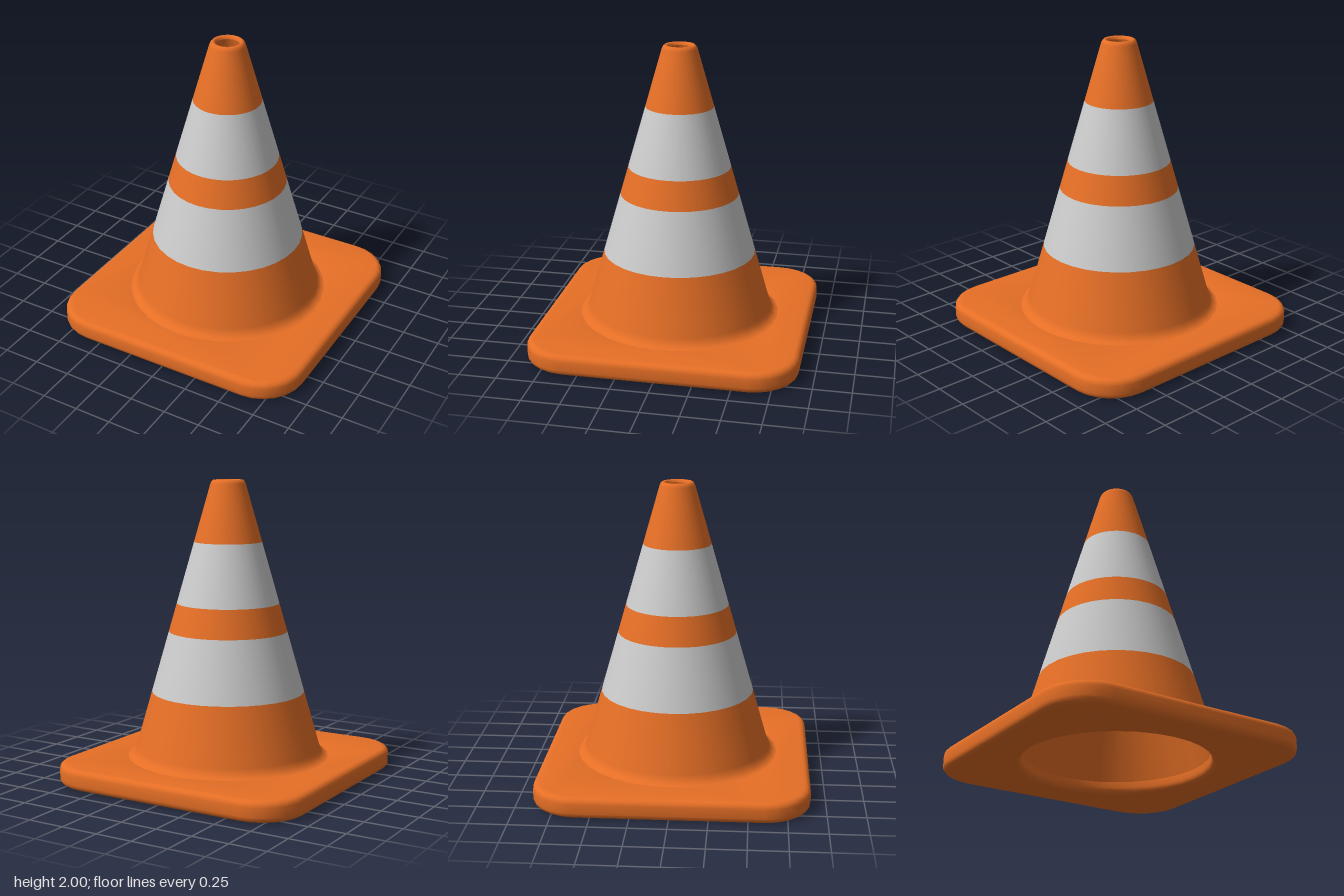
import * as THREE from 'three';
import { toCreasedNormals } from 'three/addons/utils/BufferGeometryUtils.js';

const SIDES = 32;
const orange = new THREE.MeshStandardMaterial({ color: 0xe66f26 });
const grey = new THREE.MeshStandardMaterial({ color: 0xcccccc });

// Outer radius of the tapering wall at height y
const wall = (y) => 0.682 - 0.286 * y;

function addMesh(group, name, geometry, material) {
  const mesh = new THREE.Mesh(geometry, material);
  mesh.name = name;
  group.add(mesh);
}

function lathe(points) {
  return new THREE.LatheGeometry(points.map(([r, y]) => new THREE.Vector2(r, y)), SIDES);
}

// Rounded square plate with a round opening and softened edges
function baseGeometry() {
  const bevel = 0.04, half = 0.9 - bevel, radius = 0.3 - bevel, c = half - radius;
  const shape = new THREE.Shape();
  [[1, 1], [-1, 1], [-1, -1], [1, -1]].forEach(([sx, sy], i) => {
    shape.absarc(sx * c, sy * c, radius, i * Math.PI / 2, (i + 1) * Math.PI / 2, false);
  });
  shape.closePath();

  const ring = [];
  for (let i = 0; i < SIDES; i++) {
    const a = -i / SIDES * Math.PI * 2;
    ring.push(new THREE.Vector2(0.65 * Math.cos(a), 0.65 * Math.sin(a)));
  }
  shape.holes.push(new THREE.Path(ring));

  const geometry = new THREE.ExtrudeGeometry(shape, {
    depth: 0.06, bevelThickness: bevel, bevelSize: bevel, bevelSegments: 4, curveSegments: 3,
  });
  geometry.rotateX(-Math.PI / 2).translate(0, bevel, 0);
  return toCreasedNormals(geometry, 0.6);
}

export function createModel() {
  const group = new THREE.Group();
  group.name = 'trafficCone';

  addMesh(group, 'base', baseGeometry(), orange);

  // Flared foot of the cone
  addMesh(group, 'lowerCone', lathe([
    [0.69, 0.138], [0.67, 0.143], [0.65, 0.155], [0.637, 0.175], [wall(0.2), 0.2], [wall(0.58), 0.58],
  ]), orange);

  // Stripes up the wall
  const stripes = [
    ['lowerBand', 0.58, 0.99, grey],
    ['middleCone', 0.99, 1.18, orange],
    ['upperBand', 1.18, 1.59, grey],
  ];
  for (const [name, y0, y1, material] of stripes) {
    addMesh(group, name, lathe([[wall(y0), y0], [wall(y1), y1]]), material);
  }

  // Tip with a rounded rim
  addMesh(group, 'upperCone', lathe([
    [wall(1.59), 1.59], [wall(1.975), 1.975], [0.11, 1.99], [0.1, 2],
    [0.088, 2], [0.079, 1.993], [0.076, 1.98],
  ]), orange);

  // Hollow inside, from the rim down to the opening in the base
  addMesh(group, 'innerWall', lathe([[0.076, 1.98], [0.61, 0.08]]), orange);

  return group;
}
